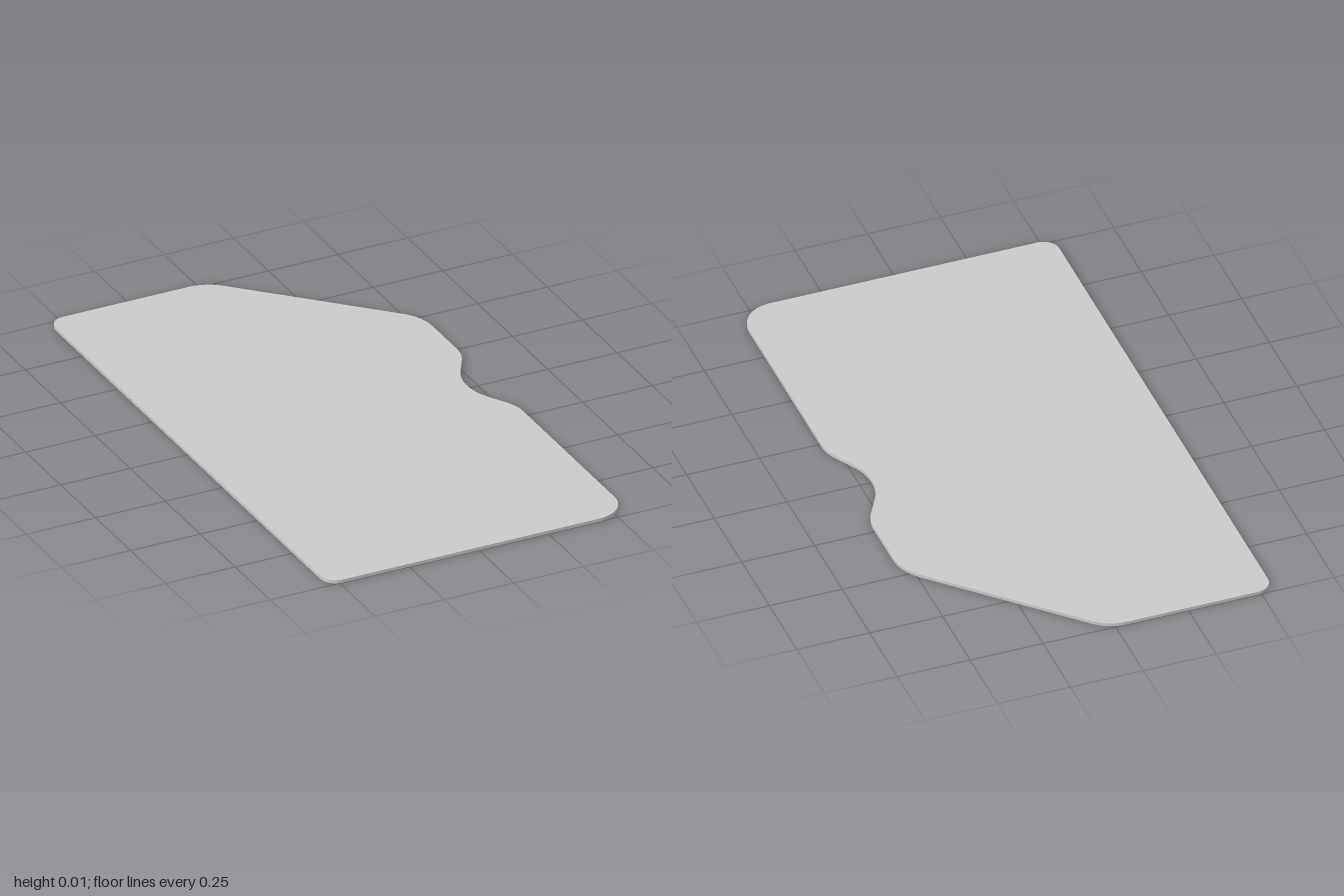
import * as THREE from 'three';
import { toCreasedNormals } from 'three/addons/utils/BufferGeometryUtils.js';

const THICKNESS = 0.011;

// Plan outline, counter-clockwise: corner x, corner -z, corner radius
const CORNERS = [
  [-0.543, -1, 0.055],
  [0.543, -1, 0.11],
  [0.543, -0.197, 0.15], // notch, front lip
  [0.429, 0, 0.2],       // notch, bottom
  [0.543, 0.197, 0.15],  // notch, rear lip
  [0.543, 0.48, 0.17],   // chamfered corner
  [0.023, 1, 0.15],
  [-0.543, 1, 0.055],
];

// Closed shape with each corner replaced by a tangent arc
function roundedPolygon(corners) {
  const shape = new THREE.Shape();
  const points = corners.map(([x, y]) => new THREE.Vector2(x, y));
  const n = points.length;
  points.forEach((p, i) => {
    const r = corners[i][2];
    const u = points[(i + n - 1) % n].clone().sub(p).normalize();
    const w = points[(i + 1) % n].clone().sub(p).normalize();
    const half = Math.acos(u.dot(w)) / 2;
    const t = r / Math.tan(half);
    const centre = u.clone().add(w).setLength(r / Math.sin(half)).add(p);
    const start = p.clone().addScaledVector(u, t).sub(centre);
    const end = p.clone().addScaledVector(w, t).sub(centre);
    const clockwise = u.cross(w) > 0;
    shape.absarc(centre.x, centre.y, r, start.angle(), end.angle(), clockwise);
  });
  shape.closePath();
  return shape;
}

export function createModel() {
  const group = new THREE.Group();
  group.name = 'notchedPlate';

  // Thin flat plate lying on the ground
  const geometry = new THREE.ExtrudeGeometry(roundedPolygon(CORNERS), {
    depth: THICKNESS,
    bevelEnabled: false,
    curveSegments: 16,
  });
  geometry.rotateX(-Math.PI / 2);

  const plate = new THREE.Mesh(
    toCreasedNormals(geometry, 0.6),
    new THREE.MeshStandardMaterial({ color: 0xcccccc })
  );
  plate.name = 'plate';
  group.add(plate);
  return group;
}
